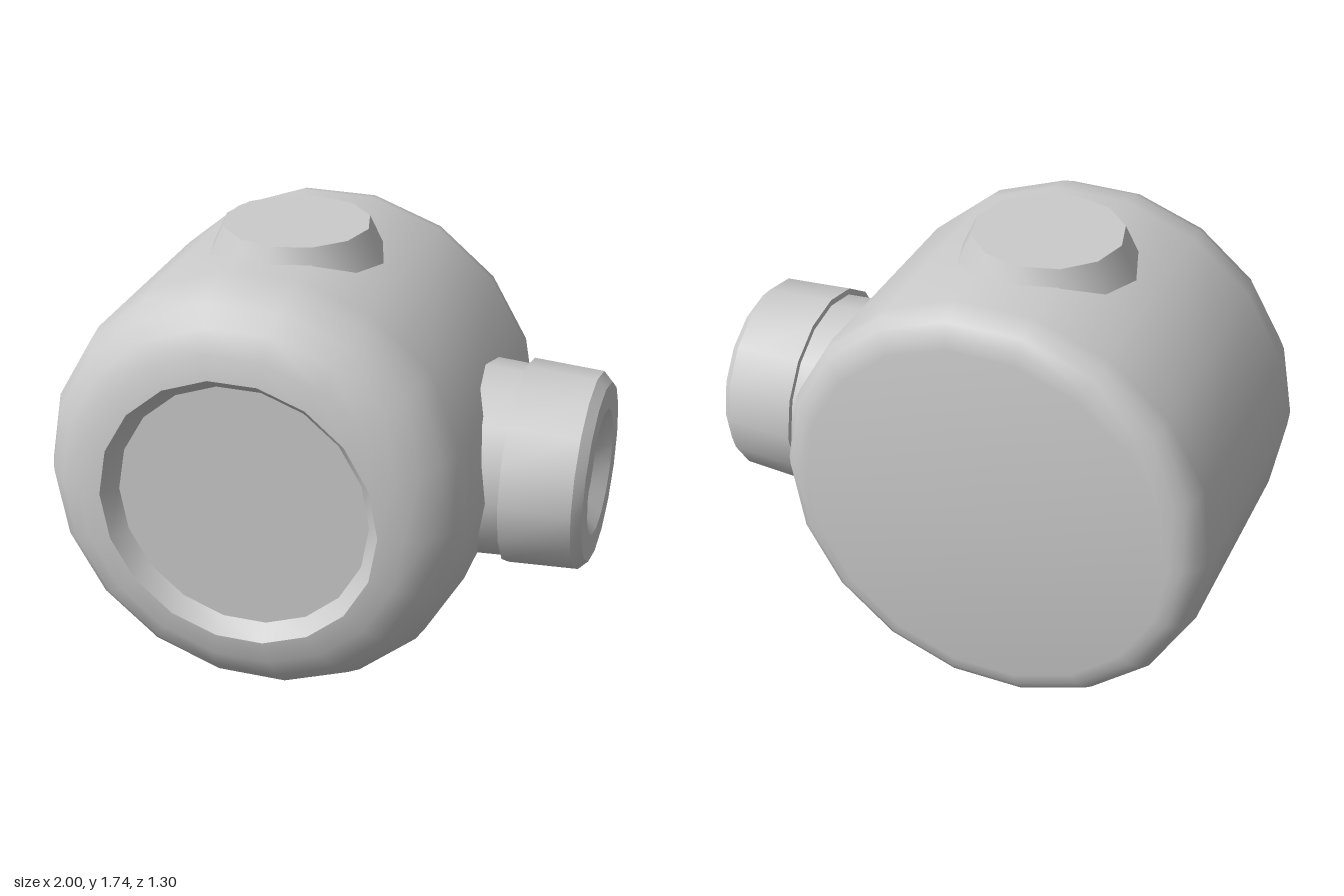
import * as THREE from 'three';
import { toCreasedNormals } from 'three/addons/utils/BufferGeometryUtils.js';

const CX = -0.175; // axis of the round body
const CY = 0.87;

// Points along a rounded corner, as [radius, height]
function fillet(r, h, size, from, to, steps) {
  return Array.from({ length: steps + 1 }, (_, i) => {
    const a = from + ((to - from) * i) / steps;
    return [r + size * Math.cos(a), h + size * Math.sin(a)];
  });
}

// Turned part around +y, with a vertex on the x axis and sharp edges kept
function turned(name, profile, sides) {
  const points = profile.map(([r, h]) => new THREE.Vector2(r, h));
  const lathe = new THREE.LatheGeometry(points, sides, Math.PI / 2);
  lathe.deleteAttribute('normal');
  lathe.deleteAttribute('uv');
  const mesh = new THREE.Mesh(
    toCreasedNormals(lathe, 0.6),
    new THREE.MeshStandardMaterial({ color: 0xcccccc })
  );
  mesh.name = name;
  return mesh;
}

export function createModel() {
  const group = new THREE.Group();
  group.name = 'valveHousing';

  // Drum body: small rounding at the back, large rounding and recess in front
  const body = turned('body', [
    [0, -0.65],
    ...fillet(0.7, -0.525, 0.125, -Math.PI / 2, 0, 4),
    ...fillet(0.53, 0.355, 0.295, 0, Math.PI / 2, 5),
    [0.48, 0.585],
    [0, 0.585],
  ], 18);
  body.rotation.x = Math.PI / 2;
  body.position.set(CX, CY, 0);
  group.add(body);

  // Flared bosses above and below
  for (const [name, turn] of [['topBoss', 0], ['bottomBoss', Math.PI]]) {
    const boss = turned(name, [[0, 0.62], [0.39, 0.62], [0.275, 0.87], [0, 0.87]], 12);
    boss.rotation.x = turn;
    boss.position.set(CX, CY, -0.05);
    group.add(boss);
  }

  // Side port: neck, tapered collar with chamfer, recessed mouth
  const port = new THREE.Group();
  port.name = 'sidePort';
  port.add(
    turned('portNeck', [[0, 0.4], [0.385, 0.4], [0.365, 0.72]], 16),
    turned('portCollar', [
      [0.3, 0.7], [0.39, 0.7], [0.375, 0.965], [0.34, 1],
      [0.24, 1], [0.178, 0.945], [0, 0.945],
    ], 16)
  );
  port.rotation.z = -Math.PI / 2;
  port.position.set(0, CY, -0.085);
  group.add(port);

  return group;
}
